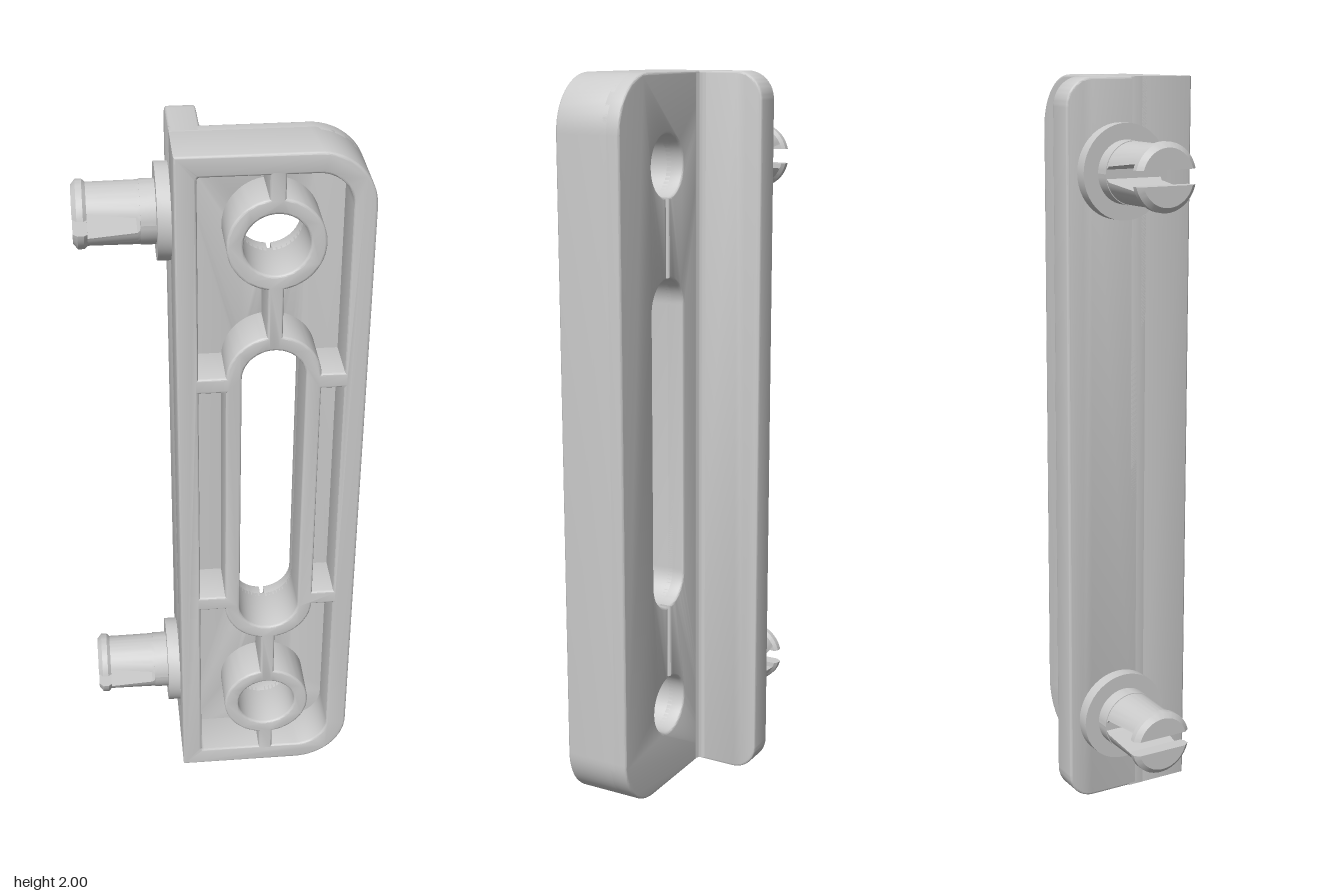
import * as THREE from 'three';
import { toCreasedNormals } from 'three/addons/utils/BufferGeometryUtils.js';

const CX = 0.125;      // centre line of the bores
const BORE = 0.083;    // bore and slot radius
const BOSS = 0.124;    // outer radius of the collars around them
const HOLE_V = 0.76;   // bore height above or below mid height
const SLOT_V = 0.38;   // slot end centre above or below mid height
const RIB = 0.02;      // half width of the vertical ribs
const BEVEL = 0.006;

const material = new THREE.MeshStandardMaterial({ color: 0xcccccc });

function addMesh(parent, name, geometry) {
  const mesh = new THREE.Mesh(toCreasedNormals(geometry, 0.65), material);
  mesh.name = name;
  parent.add(mesh);
  return mesh;
}

function arc(cx, cy, r, a0, a1, n = 16) {
  return Array.from({ length: n + 1 }, (_, i) => {
    const a = a0 + ((a1 - a0) * i) / n;
    return new THREE.Vector2(cx + r * Math.cos(a), cy + r * Math.sin(a));
  });
}

// Maps points measured from the middle of the plate, optionally mirrored
const place = (pts, sx = 1, sy = 1) =>
  pts.map((p) => new THREE.Vector2(CX + sx * p.x, 1 + sy * p.y));

// Extrusion from z0 to z1 with edges rounded inwards
function plate(shape, z0, z1) {
  const geo = new THREE.ExtrudeGeometry(shape, {
    depth: z1 - z0 - 2 * BEVEL, curveSegments: 16, bevelEnabled: true,
    bevelThickness: BEVEL, bevelSize: BEVEL, bevelOffset: -BEVEL, bevelSegments: 3,
  });
  return geo.translate(0, 0, z0 + BEVEL);
}

function bodyOutline() {
  const r = 0.15, R = 0.368, L = -0.125;
  return new THREE.Shape([
    new THREE.Vector2(L, 0),
    ...arc(R - r, r, r, -Math.PI / 2, 0),
    ...arc(R - r, 2 - r, r, 0, Math.PI / 2),
    new THREE.Vector2(L, 2),
  ]);
}

// Corner pocket wrapping round a bore collar and the end of the slot collar
function cornerPocket(width, corner) {
  const a = Math.acos(RIB / BOSS);
  return [
    ...arc(0, SLOT_V, BOSS, 0.05, a),
    ...arc(0, HOLE_V, BOSS, -a, a, 24),
    new THREE.Vector2(RIB, 0.945),
    ...arc(width - corner, 0.945 - corner, corner, Math.PI / 2, 0, 10),
    new THREE.Vector2(width, 0.386),
  ];
}

// Bores and slot joined by narrow slits, as seen on the back
function keyway() {
  const a = Math.acos(0.006 / BORE);
  const top = [
    ...arc(0, SLOT_V, BORE, 0, a),
    ...arc(0, HOLE_V, BORE, -a, Math.PI + a, 40),
    ...arc(0, SLOT_V, BORE, Math.PI - a, Math.PI),
  ];
  return [...place(top), ...place(top, -1, -1)];
}

// One half of the split pin, lofted through segments of a circle: [x, radius, gap]
function pinHalf() {
  const stations = [
    [-0.15, 0.083, 0], [-0.2, 0.083, 0], [-0.2, 0.081, 0.012], [-0.208, 0.081, 0.02],
    [-0.333, 0.08, 0.034], [-0.333, 0.08, 0.02], [-0.342, 0.088, 0.02],
    [-0.358, 0.088, 0.02], [-0.37, 0.074, 0.02],
  ];
  const n = 28, pos = [], index = [];
  stations.forEach(([x, r, h], s) => {
    const a = Math.asin(h / r);
    arc(0, 0, r, a, Math.PI - a, n - 1).forEach((p) => pos.push(x, p.y, p.x));
    if (s === 0) return;
    for (let j = 0; j < n; j++) {
      const k = (j + 1) % n, p = (s - 1) * n, q = s * n;
      index.push(p + j, p + k, q + j, p + k, q + k, q + j);
    }
  });
  // Tip cap
  const last = (stations.length - 1) * n;
  for (let j = 1; j < n - 1; j++) index.push(last, last + j, last + j + 1);
  const geo = new THREE.BufferGeometry();
  geo.setAttribute('position', new THREE.Float32BufferAttribute(pos, 3));
  geo.setIndex(index);
  return geo;
}

export function createModel() {
  const model = new THREE.Group();
  model.name = 'mountingBracket';

  // Front lattice: rim, collars and ribs left between the pockets
  const lattice = bodyOutline();
  for (const sy of [1, -1]) {
    lattice.holes.push(new THREE.Path(arc(CX, 1 + sy * HOLE_V, BORE, 0, 2 * Math.PI, 48).slice(0, -1)));
    lattice.holes.push(new THREE.Path(place(cornerPocket(0.185, 0.09), 1, sy)));
    lattice.holes.push(new THREE.Path(place(cornerPocket(0.195, 0.008), -1, sy)));
  }
  lattice.holes.push(new THREE.Path(place([
    ...arc(0, SLOT_V, BORE, 0, Math.PI, 24),
    ...arc(0, -SLOT_V, BORE, Math.PI, 2 * Math.PI, 24),
  ])));
  for (const [sx, w] of [[1, 0.185], [-1, 0.195]]) {
    const v = 0.343;
    lattice.holes.push(new THREE.Path(place([
      new THREE.Vector2(BOSS, -v), new THREE.Vector2(w, -v),
      new THREE.Vector2(w, v), new THREE.Vector2(BOSS, v),
    ], sx)));
  }
  addMesh(model, 'ribbedFront', plate(lattice, 0.03, 0.187));

  // Back plate forming the pocket floors
  const back = bodyOutline();
  back.holes.push(new THREE.Path(keyway()));
  addMesh(model, 'backPlate', plate(back, 0, 0.055));

  // Side flange running backwards, with rounded rear corners
  const r = 0.075, d = 0.187;
  const flange = new THREE.Shape([
    new THREE.Vector2(-0.03, 0),
    ...arc(d - r, r, r, -Math.PI / 2, 0),
    ...arc(d - r, 2 - r, r, 0, Math.PI / 2),
    new THREE.Vector2(-0.03, 2),
  ]);
  addMesh(model, 'sideFlange', plate(flange, -0.125, -0.048).rotateY(Math.PI / 2));

  // Fillet between flange and back plate
  const fillet = new THREE.Shape([
    new THREE.Vector2(-0.055, 0.02), new THREE.Vector2(-0.055, -0.01),
    new THREE.Vector2(-0.028, -0.01),
    ...arc(-0.028, 0.02, 0.02, -Math.PI / 2, -Math.PI, 8),
  ]);
  const filletGeo = new THREE.ExtrudeGeometry(fillet, { depth: 1.99, bevelEnabled: false });
  addMesh(model, 'fillet', filletGeo.rotateX(-Math.PI / 2).translate(0, 0.005, 0));

  // Split snap pins with round collars
  for (const sy of [1, -1]) {
    const pin = new THREE.Group();
    pin.name = sy > 0 ? 'upperPin' : 'lowerPin';
    pin.position.set(0, 1 + sy * HOLE_V, -0.032);
    const collar = new THREE.CylinderGeometry(0.125, 0.125, 0.04, 48);
    addMesh(pin, 'pinCollar', collar.rotateZ(Math.PI / 2).translate(-0.14, 0, 0));
    addMesh(pin, 'pinUpperHalf', pinHalf());
    addMesh(pin, 'pinLowerHalf', pinHalf().rotateX(Math.PI));
    model.add(pin);
  }
  return model;
}
